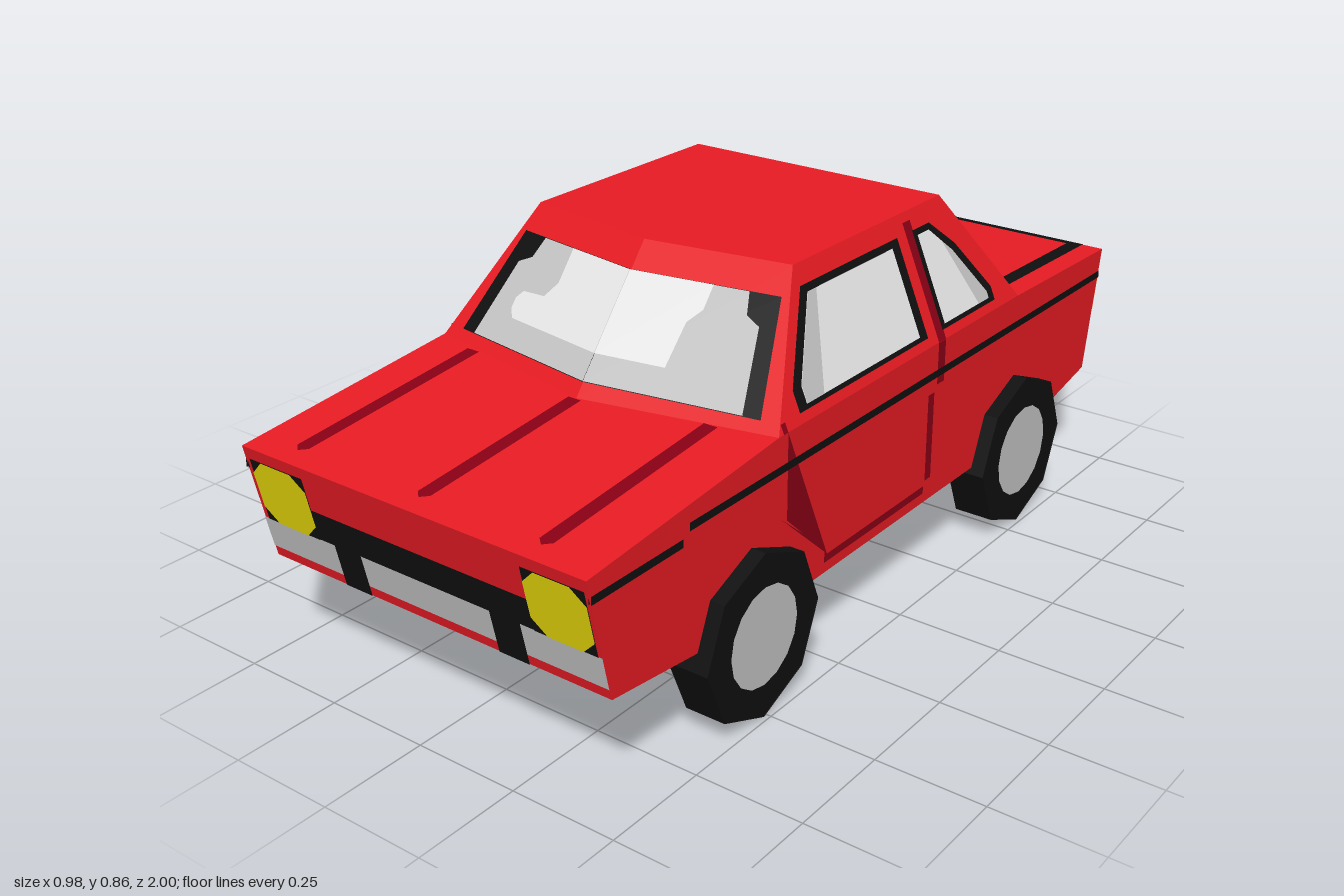
import * as THREE from 'three';

const paint = (name, color) => {
  const m = new THREE.MeshStandardMaterial({ color, side: THREE.DoubleSide });
  m.name = name;
  return m;
};
const V = (p) => new THREE.Vector3(...p);

export function createModel() {
  const car = new THREE.Group();
  car.name = 'car';
  const red = paint('red paint', 0xed1c24);
  const darkRed = paint('dark red', 0x880015);
  const black = paint('black', 0x0f0f0f);
  const grey = paint('grey', 0xc3c3c3);
  const light = paint('light glass', 0xebebeb);
  const yellow = paint('yellow', 0xf8e808);
  const orange = paint('orange', 0xff7f27);

  const add = (name, geometry, material) => {
    const mesh = new THREE.Mesh(geometry, material);
    mesh.name = name;
    car.add(mesh);
    return mesh;
  };
  const faces = (points, triangles) => {
    const g = new THREE.BufferGeometry().setFromPoints(triangles.flat().map((i) => points[i]));
    g.computeVertexNormals();
    return g;
  };

  // A convex body panel from its corners
  const panel = (name, corners) => {
    const tris = [];
    for (let i = 1; i < corners.length - 1; i++) tris.push([0, i, i + 1]);
    add(name, faces(corners.map(V), tris), red);
  };

  // A painted shape on both faces of a panel: a and b are the given axes, the third is solved
  const surface = (p, q, r, a, b) => {
    const plane = new THREE.Plane().setFromCoplanarPoints(V(p), V(q), V(r));
    const n = plane.normal.toArray();
    const k = 3 - a - b;
    return (name, material, outline, layer = 1) => {
      const flat = outline.map((o) => new THREE.Vector2(...o));
      const pts = outline.map(([u, v]) => {
        const c = [0, 0, 0];
        c[a] = u;
        c[b] = v;
        c[k] = -(plane.constant + n[a] * u + n[b] * v) / n[k];
        return V(c);
      });
      const tris = THREE.ShapeUtils.triangulateShape(flat, []);
      const t = 0.0015 * layer;
      const both = [...pts.map((v) => v.clone().addScaledVector(plane.normal, t)),
        ...pts.map((v) => v.clone().addScaledVector(plane.normal, -t))];
      const back = tris.map(([x, y, z]) => [z + pts.length, y + pts.length, x + pts.length]);
      add(name, faces(both, [...tris, ...back]), material);
    };
  };
  const rect = (u0, u1, v0, v1) => [[u0, v0], [u1, v0], [u1, v1], [u0, v1]];
  const mirror = (pts) => pts.map(([u, v]) => [-u, v]);

  const W = 0.455, R = 0.34, belt = 0.585, top = 0.86;
  const noseTop = 0.53, tailTop = 0.575, noseLow = 0.255, tailLow = 0.27;
  const A = [0, 0.577, 0.5], D = [0, top, 0.27];

  // Hood, roof, rear window panel, deck, nose and tail
  panel('hood', [[-W, noseTop, 1], [W, noseTop, 1], [W, belt, 0.42], A, [-W, belt, 0.42]]);
  panel('roof', [D, [R, top, 0.215], [R, top, -0.36], [-R, top, -0.36], [-R, top, 0.215]]);
  panel('rearWindowPanel', [[-W, belt, -0.555], [-R, top, -0.36], [R, top, -0.36], [W, belt, -0.555]]);
  panel('rearDeck', [[-W, belt, -0.555], [W, belt, -0.555], [W, tailTop, -1], [-W, tailTop, -1]]);
  panel('nosePanel', [[-W, noseLow, 0.94], [W, noseLow, 0.94], [W, noseTop, 1], [-W, noseTop, 1]]);
  panel('tailPanel', [[W, tailLow, -0.94], [-W, tailLow, -0.94], [-W, tailTop, -1], [W, tailTop, -1]]);

  for (const s of [1, -1]) {
    const w = s * W, r = s * R;
    const B = [w, belt, 0.42], C = [r, top, 0.215];
    panel('bodySide', [[w, noseTop, 1], B, [w, belt, -0.555], [w, tailTop, -1],
      [w, tailLow, -0.94], [w, 0.205, -0.62], [w, 0.205, 0.5], [w, noseLow, 0.94]]);
    panel('cabinSide', [B, C, [r, top, -0.36], [w, belt, -0.555]]);
    panel('windshieldPanel', [A, B, C, D]);

    // Side stripes and door seams
    const side = surface([w, 0, 0], [w, 1, 0], [w, 0, 1], 2, 1);
    side('sideStripe', black, rect(-0.985, 0.71, 0.504, 0.522), 2);
    side('frontSideStripe', black, rect(0.73, 0.992, 0.478, 0.496), 2);
    side('doorFrontSeam', darkRed, [[0.41, belt], [0.39, belt], [0.39, 0.39], [0.25, 0.26], [0.25, 0.23],
      [-0.15, 0.23], [-0.15, 0.248], [0.24, 0.248], [0.27, 0.285], [0.41, 0.4]]);
    side('doorRearSeam', darkRed, rect(-0.18, -0.155, 0.26, 0.47));
    side('pillarSeamLow', darkRed, rect(-0.22, -0.19, 0.485, belt));

    // Side windows
    const cabin = surface(B, C, [r, top, -0.36], 2, 1);
    cabin('pillarSeam', darkRed, rect(-0.22, -0.19, belt, 0.84));
    cabin('doorSeamTop', darkRed, rect(0.39, 0.405, belt, 0.605));
    cabin('frontWindowFrame', black,
      [[0.338, 0.605], [0.338, 0.65], [0.215, 0.818], [-0.155, 0.818], [-0.155, 0.605]]);
    cabin('frontWindow', light,
      [[0.31, 0.615], [0.31, 0.65], [0.2, 0.803], [-0.125, 0.803], [-0.125, 0.615]], 2);
    cabin('frontWindowShade', grey, [[0.31, 0.615], [0.31, 0.65], [0.2, 0.803], [0.17, 0.803], [0.25, 0.615]], 3);
    cabin('rearWindowFrame', black,
      [[-0.215, 0.605], [-0.215, 0.818], [-0.285, 0.818], [-0.36, 0.755], [-0.45, 0.635], [-0.45, 0.605]], 2);
    cabin('rearSideWindow', light,
      [[-0.228, 0.615], [-0.228, 0.805], [-0.275, 0.805], [-0.34, 0.745], [-0.425, 0.63], [-0.425, 0.615]], 3);
    cabin('rearSideWindowShade', grey, [[-0.34, 0.745], [-0.425, 0.63], [-0.425, 0.615], [-0.38, 0.615],
      [-0.31, 0.772]], 3.3);

    // Windshield half
    const screen = surface(A, B, C, 0, 1);
    const half = (name, mat, pts, layer) => screen(name, mat, s > 0 ? pts : mirror(pts), layer);
    half('windshieldFrame', black, [[0, 0.605], [0.405, 0.605], [0.345, 0.805], [0, 0.805]], 1);
    half('windshield', grey,
      [[0, 0.606], [0.365, 0.606], [0.325, 0.75], [0.29, 0.765], [0.275, 0.804], [0, 0.804]], 2);
    screen('windshieldReflection', light, s > 0
      ? [[0, 0.655], [0.165, 0.655], [0.17, 0.735], [0.195, 0.76], [0.195, 0.804], [0, 0.804]]
      : [[0, 0.655], [-0.27, 0.655], [-0.285, 0.67], [-0.285, 0.69], [-0.27, 0.705], [-0.205, 0.71],
        [-0.18, 0.74], [-0.18, 0.804], [0, 0.804]], 3);

    // Wheels: open tyre with an outer face and a hubcap
    for (const [place, z] of [['front', 0.51], ['rear', -0.56]]) {
      const tyre = new THREE.CylinderGeometry(0.19, 0.19, 0.096, 8, 1, true).rotateZ(Math.PI / 2).toNonIndexed();
      tyre.computeVertexNormals();
      add(place + 'Tyre', tyre, black).position.set(s * 0.442, 0.19, z);
      const disc = (radius, sides) => new THREE.CircleGeometry(radius, sides).rotateY(s * Math.PI / 2);
      add(place + 'TyreFace', disc(0.19, 8), black).position.set(s * 0.488, 0.19, z);
      for (const x of [0.486, 0.49])
        add(place + 'Hubcap', disc(0.113, 16), grey).position.set(s * x, 0.19, z);
    }
  }

  // Hood creases
  const hood = surface([0, noseTop, 1], [1, noseTop, 1], A, 0, 2);
  for (const [x, z] of [[-0.34, 0.45], [0, 0.505], [0.31, 0.45]])
    hood('hoodCrease', darkRed, [[x - 0.017, z], [x + 0.017, z], [x + 0.017, 0.94], [x, 0.955], [x - 0.017, 0.94]]);

  // Grille, headlights and front bumper
  const nose = surface([0, noseLow, 0.94], [1, noseLow, 0.94], [0, noseTop, 1], 0, 1);
  nose('grille', black, rect(-0.3, 0.3, 0.355, 0.427));
  for (const x of [-0.362, 0.37]) {
    nose('headlightSurround', black, rect(x - 0.077, x + 0.077, 0.355, 0.505), 2);
    const a = 0.077, b = 0.043;
    nose('headlight', yellow, [[a, b], [b, a], [-b, a], [-a, b], [-a, -b], [-b, -a], [b, -a], [a, -b]]
      .map(([u, v]) => [x + u, 0.43 + v * 0.97]), 3);
  }
  for (const [x0, x1] of [[-W, -0.245], [-0.17, 0.177], [0.255, W]])
    nose('frontBumper', grey, rect(x0, x1, 0.28, 0.355));
  nose('rightBumperGap', black, rect(-0.245, -0.17, noseLow, 0.355));
  nose('leftBumperGap', black, rect(0.177, 0.255, noseLow, 0.355));

  // Tail lights and rear bumper
  const tail = surface([0, tailLow, -0.94], [1, tailLow, -0.94], [0, tailTop, -1], 0, 1);
  tail('tailStrip', grey, rect(-0.25, 0.25, 0.425, 0.505));
  tail('rearBumper', grey, rect(-W, W, tailLow, 0.378));
  for (const s of [1, -1]) {
    tail('tailLight', orange, rect(s * 0.335, s * W, 0.425, 0.505));
    tail('reversingLight', light, rect(s * 0.25, s * 0.335, 0.425, 0.505));
    tail('rearBumperGap', black, rect(s * 0.175, s * 0.245, tailLow, 0.36), 2);
  }

  // Deck trim
  const deck = surface([0, belt, -0.555], [1, belt, -0.555], [0, tailTop, -1], 0, 2);
  for (const s of [1, -1]) deck('deckSideTrim', black, rect(s * 0.365, s * 0.402, -0.999, -0.556));
  deck('deckRearTrim', black, rect(-0.365, 0.365, -0.999, -0.98));

  // Rear window
  const rear = surface([0, belt, -0.555], [1, belt, -0.555], [0, top, -0.36], 0, 1);
  rear('rearWindowSurround', black, [[-0.425, 0.59], [0.425, 0.59], [0.36, 0.775], [-0.36, 0.775]]);
  rear('rearWindow', light, [[-0.385, 0.592], [0.385, 0.592], [0.34, 0.776], [-0.34, 0.776]], 2);

  return car;
}
